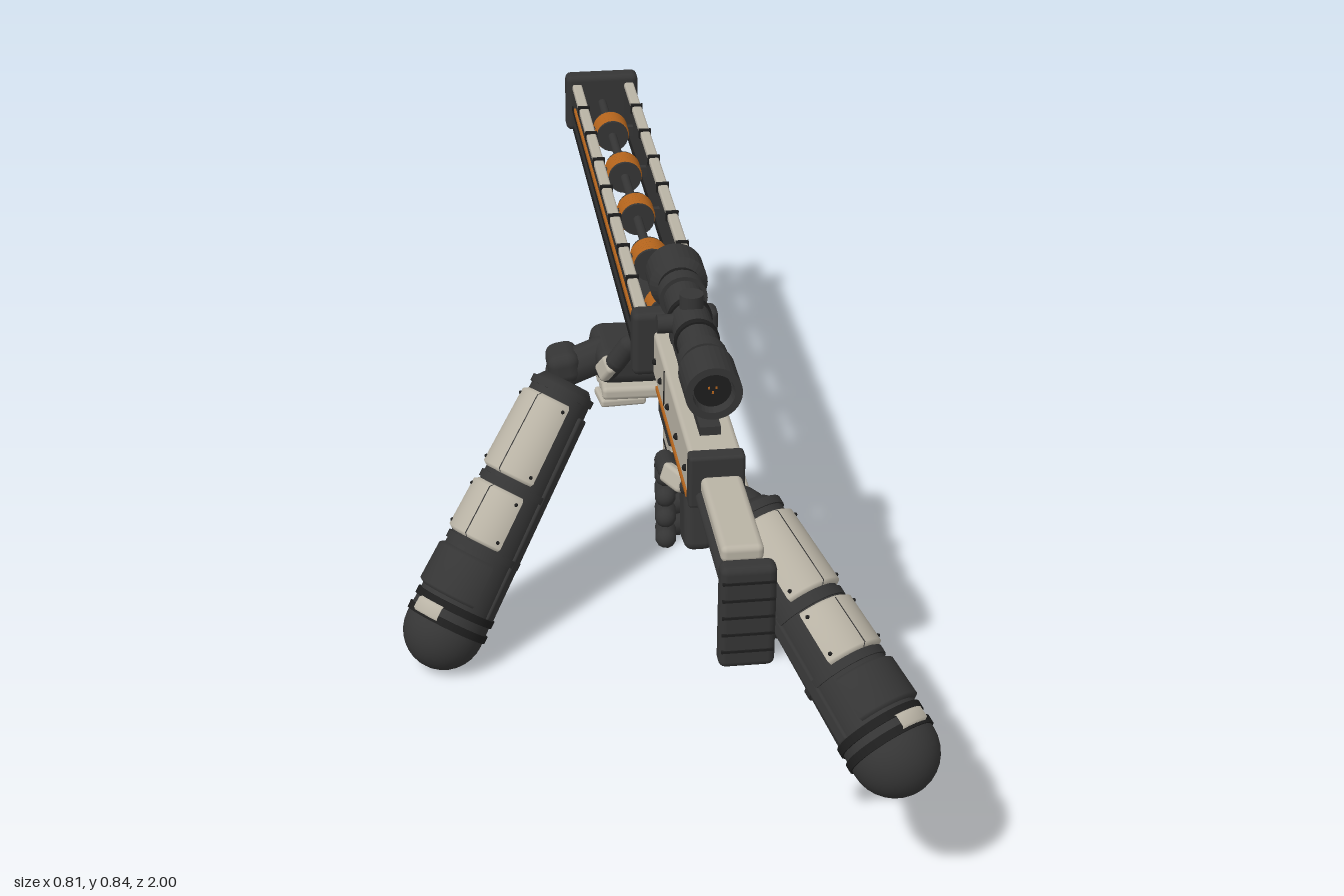
import * as THREE from 'three';
import { RoundedBoxGeometry } from 'three/addons/geometries/RoundedBoxGeometry.js';

const mat = (name, color) => {
  const m = new THREE.MeshStandardMaterial({ color, side: THREE.DoubleSide });
  m.name = name;
  return m;
};
const V = (x, y, z) => new THREE.Vector3(x, y, z);

export function createModel() {
  const dark = mat('charcoal', 0x353535), black = mat('black', 0x1e1e1e);
  const pale = mat('bone white', 0xb9b3a5), orange = mat('copper orange', 0xb4641c);
  const CX = 0.085; // gun centre line
  const model = new THREE.Group();
  model.name = 'heldRifle';

  const group = (name, parent = model) => {
    const g = new THREE.Group();
    g.name = name;
    parent.add(g);
    return g;
  };
  const add = (parent, name, geo, m, x = 0, y = 0, z = 0) => {
    const mesh = new THREE.Mesh(geo, m);
    mesh.name = name;
    mesh.position.set(x, y, z);
    parent.add(mesh);
    return mesh;
  };
  // box given by its extents
  const box = (p, name, m, x0, x1, y0, y1, z0, z1, r = 0) => {
    const s = [x1 - x0, y1 - y0, z1 - z0];
    const geo = r ? new RoundedBoxGeometry(...s, 2, r) : new THREE.BoxGeometry(...s);
    return add(p, name, geo, m, (x0 + x1) / 2, (y0 + y1) / 2, (z0 + z1) / 2);
  };
  // cylinder along z
  const tubeZ = (p, name, m, r, x, y, z0, z1, r2 = r, n = 24) => {
    const c = add(p, name, new THREE.CylinderGeometry(r2, r, z1 - z0, n), m, x, y, (z0 + z1) / 2);
    c.rotation.x = Math.PI / 2;
    return c;
  };
  // turn an object so its y runs along dir and its z leans toward face
  const orient = (o, dir, face) => {
    const y = dir.clone().normalize();
    const x = y.clone().cross(face).normalize();
    o.quaternion.setFromRotationMatrix(new THREE.Matrix4().makeBasis(x, y, x.clone().cross(y)));
    return o;
  };
  // capsule or rounded plate between two points
  const link = (p, name, m, a, b, r) => {
    const d = b.clone().sub(a), c = a.clone().add(b).multiplyScalar(0.5);
    return orient(add(p, name, new THREE.CapsuleGeometry(r, d.length(), 4, 12), m, c.x, c.y, c.z), d, V(0.13, 0.31, 0.94));
  };
  const slab = (p, name, m, a, b, w, t, face) => {
    const d = b.clone().sub(a), c = a.clone().add(b).multiplyScalar(0.5);
    const geo = new RoundedBoxGeometry(w, d.length(), t, 2, Math.min(w, t) * 0.35);
    return orient(add(p, name, geo, m, c.x, c.y, c.z), d, face);
  };

  // ---- stock ----
  const stock = group('stock');
  box(stock, 'buttPlate', dark, 0.042, 0.128, 0.515, 0.692, 0.95, 0.985, 0.012);
  for (let i = 0; i < 5; i++) box(stock, 'buttRib', black, 0.045, 0.125, 0.545 + i * 0.03, 0.549 + i * 0.03, 0.983, 0.987);
  box(stock, 'cheekRest', pale, 0.052, 0.118, 0.663, 0.692, 0.71, 0.925, 0.01);
  for (const s of [-1, 1]) tubeZ(stock, 'stockRod', dark, 0.01, CX + s * 0.025, 0.632, 0.66, 0.955, 0.01, 12);
  box(stock, 'stockBar', black, 0.07, 0.1, 0.62, 0.643, 0.66, 0.955);

  // ---- receiver ----
  const receiver = group('receiver');
  box(receiver, 'body', pale, 0.043, 0.127, 0.615, 0.7, 0.23, 0.65, 0.008);
  box(receiver, 'rearCap', dark, 0.04, 0.13, 0.612, 0.704, 0.648, 0.678, 0.006);
  box(receiver, 'lowerFrame', dark, 0.05, 0.12, 0.585, 0.618, 0.24, 0.6, 0.006);
  box(receiver, 'topRail', dark, 0.068, 0.102, 0.698, 0.715, 0.25, 0.6);
  for (const s of [-1, 1]) {
    const x = CX + s * 0.0425;
    box(receiver, 'orangeStripe', orange, x - 0.002, x + 0.002, 0.612, 0.619, 0.28, 0.64);
    box(receiver, 'panelSeam', black, x - 0.001, x + 0.001, 0.63, 0.695, 0.368, 0.371);
    for (const z of [0.26, 0.33, 0.42, 0.52, 0.62])
      add(receiver, 'bolt', new THREE.SphereGeometry(0.006, 10, 8), black, x, 0.655, z);
  }
  const magazine = group('magazine', receiver);
  box(magazine, 'magazineWell', dark, 0.05, 0.12, 0.55, 0.6, 0.245, 0.375, 0.006);
  box(magazine, 'magazineBody', pale, 0.056, 0.114, 0.39, 0.57, 0.262, 0.36, 0.006);
  box(magazine, 'magazineFoot', dark, 0.05, 0.12, 0.368, 0.392, 0.255, 0.368, 0.006);
  for (const y of [0.43, 0.47, 0.51]) box(magazine, 'magazineGroove', black, 0.0545, 0.1155, y, y + 0.004, 0.28, 0.345);
  // pistol grip and trigger guard
  const grip = box(receiver, 'pistolGrip', dark, 0.06, 0.11, 0.42, 0.6, 0.43, 0.5, 0.015);
  grip.rotation.x = -0.2;
  box(receiver, 'triggerGuard', dark, 0.077, 0.093, 0.545, 0.552, 0.37, 0.45);

  // ---- scope: one turned profile along z ----
  const scope = group('scope');
  const profile = [[0, 0.2], [0.036, 0.2], [0.036, 0.182], [0.05, 0.182], [0.05, 0.235], [0.034, 0.25], [0.034, 0.53],
    [0.046, 0.55], [0.046, 0.628], [0.034, 0.628], [0.032, 0.61], [0, 0.61]];
  const pts = profile.map(([r, z]) => new THREE.Vector2(r, z));
  add(scope, 'scopeTube', new THREE.LatheGeometry(pts, 32).toNonIndexed(), dark, CX, 0.79, 0).rotation.x = Math.PI / 2;
  scope.children[0].geometry.computeVertexNormals();
  for (const z of [0.25, 0.36, 0.44, 0.535]) tubeZ(scope, 'scopeBand', black, 0.0375, CX, 0.79, z, z + 0.012);
  tubeZ(scope, 'lens', black, 0.03, CX, 0.79, 0.611, 0.614);
  for (const [x, y] of [[-0.006, 0.004], [0.006, 0.004], [0, -0.004]])
    box(scope, 'reticleMark', orange, CX + x - 0.0015, CX + x + 0.0015, 0.788 + y, 0.792 + y, 0.614, 0.616);
  add(scope, 'topKnob', new THREE.CylinderGeometry(0.02, 0.02, 0.03, 20), dark, CX, 0.828, 0.38);
  const side = add(scope, 'sideKnob', new THREE.CylinderGeometry(0.016, 0.016, 0.03, 20), dark, CX - 0.042, 0.79, 0.38);
  side.rotation.z = Math.PI / 2;
  for (const z of [0.28, 0.52]) {
    box(scope, 'mountPost', dark, 0.065, 0.105, 0.705, 0.77, z - 0.013, z + 0.013);
    tubeZ(scope, 'mountRing', dark, 0.041, CX, 0.79, z - 0.014, z + 0.014);
  }

  // ---- open rail barrel ----
  const barrel = group('barrel');
  box(barrel, 'rearBlock', dark, 0.01, 0.16, 0.6, 0.72, 0.168, 0.21, 0.012);
  box(barrel, 'neck', dark, 0.05, 0.12, 0.62, 0.69, 0.2, 0.24);
  box(barrel, 'frontBlock', dark, 0.01, 0.16, 0.6, 0.72, -0.92, -0.88, 0.012);
  for (const s of [-1, 1]) {
    const x = CX + s * 0.054;
    box(barrel, 'sideRail', dark, x - 0.009, x + 0.009, 0.622, 0.697, -0.89, 0.175);
    box(barrel, 'orangeStrip', orange, x + s * 0.01 - 0.003, x + s * 0.01 + 0.003, 0.671, 0.68, -0.81, 0.13);
    box(barrel, 'shadowGroove', black, x + s * 0.01 - 0.002, x + s * 0.01 + 0.002, 0.655, 0.665, -0.86, 0.15);
    box(barrel, 'lowerRail', black, x - 0.007, x + 0.007, 0.597, 0.606, -0.89, 0.175);
    for (let i = 0; i < 8; i++) { // pale top segments with clamps between
      const z = 0.165 - i * 0.13;
      box(barrel, 'topStrip', pale, x - 0.01, x + 0.01, 0.695, 0.709, z - 0.124, z, 0.004);
      if (i) box(barrel, 'stripClamp', black, x - 0.012, x + 0.012, 0.692, 0.712, z, z + 0.006);
    }
    for (let i = 0; i < 5; i++) box(barrel, 'railHanger', black, x - 0.006, x + 0.006, 0.6, 0.625, -0.735 + i * 0.2, -0.7 + i * 0.2);
  }
  tubeZ(barrel, 'coreRod', dark, 0.009, CX, 0.66, -0.9, 0.18, 0.009, 12);
  for (const z of [0.07, -0.13, -0.33, -0.525, -0.73]) {
    const coil = group('coil', barrel);
    for (let i = -2; i <= 2; i++) add(coil, 'winding', new THREE.TorusGeometry(0.029, 0.006, 8, 24), orange, CX, 0.66, z + i * 0.009);
    tubeZ(coil, 'coilCore', orange, 0.029, CX, 0.66, z - 0.02, z + 0.02);
    for (const s of [-1, 1]) tubeZ(coil, 'coilCollar', dark, 0.032, CX, 0.66, z + s * 0.025 - 0.004, z + s * 0.025 + 0.004);
    box(coil, 'crossBar', dark, 0.04, 0.13, 0.65, 0.67, z - 0.006, z + 0.006);
  }
  for (const s of [-1, 1]) { // muzzle prongs
    const x = CX + s * 0.034;
    box(barrel, 'muzzlePost', pale, x - 0.009, x + 0.009, 0.64, 0.672, -0.96, -0.91);
    box(barrel, 'muzzleProng', dark, x - 0.016, x + 0.016, 0.63, 0.685, -1, -0.955, 0.006);
  }
  box(barrel, 'muzzleBridge', dark, 0.06, 0.11, 0.647, 0.665, -0.995, -0.98);
  box(barrel, 'foreGrip', dark, 0.045, 0.125, 0.545, 0.615, -0.17, 0.06, 0.012);

  // ---- forearm: turned sleeve with curved armour plates on its face side ----
  const forearm = (name, elbow, wrist, face, R) => {
    const g = group(name), d = wrist.clone().sub(elbow), L = d.length();
    g.position.copy(elbow);
    orient(g, d, face);
    const radius = (y) => R * (1 - 0.24 * Math.max(0, y / L));
    const p = [];
    for (let i = 0; i <= 8; i++) p.push(new THREE.Vector2(R * Math.sin(i * Math.PI / 16), -R * Math.cos(i * Math.PI / 16)));
    p.push(new THREE.Vector2(radius(L * 0.97), L * 0.97), new THREE.Vector2(R * 0.6, L), new THREE.Vector2(0, L));
    add(g, 'sleeve', new THREE.LatheGeometry(p, 32), dark);
    for (const t of [0.03, 0.09, 0.32, 0.57, 0.96])
      add(g, 'sleeveBand', new THREE.CylinderGeometry(radius(t * L) + 0.004, radius(t * L) + 0.004, 0.014, 32), t > 0.1 ? dark : black, 0, t * L);
    // plates: start, end, centre angle, angular width, colour
    const plates = [[0.02, 0.085, 0, 0.7, pale], [0.12, 0.29, 0, 2, dark], [0.34, 0.55, 0.48, 0.93, pale], [0.34, 0.55, -0.48, 0.93, pale],
      [0.6, 0.92, 0.5, 0.97, pale], [0.6, 0.92, -0.5, 0.97, pale]];
    for (const [a, b, c, w, m] of plates) {
      const q = [[0, a], [0.009, a + 0.012], [0.009, b - 0.012], [0, b]].map(([o, t]) => new THREE.Vector2(radius(t * L) + o, t * L));
      add(g, 'armourPlate', new THREE.LatheGeometry(q, 12, c - w / 2, w), m);
      for (const t of [a + 0.03, b - 0.03]) {
        if (m === dark || b - a < 0.1) continue;
        const r = radius(t * L) + 0.009, th = c + Math.sign(c) * w * 0.36;
        add(g, 'rivet', new THREE.SphereGeometry(0.0035, 8, 6), black, r * Math.sin(th), t * L, r * Math.cos(th));
      }
    }
    for (const s of [-1, 1]) // raised strips beside the plates
      slab(g, 'sideStrip', dark, V(s * R * 0.93, L * 0.1, -0.01), V(s * R * 0.77, L * 0.9, -0.01), 0.024, 0.014, V(s, 0, 0));
  };
  forearm('rightForearm', V(-0.332, 0.075, 0.17), V(-0.08, 0.465, -0.035), V(-0.6, 0.5, 0.6), 0.075);
  forearm('leftForearm', V(0.335, 0.294, 0.925), V(0.145, 0.55, 0.59), V(0.4, 0.8, 0.4), 0.073);

  // finger: dark joints with a pale plate on every bone but the tip
  const finger = (p, path, out, r) => {
    for (let i = 0; i + 1 < path.length; i++) {
      const a = path[i], b = path[i + 1];
      link(p, 'fingerBone', dark, a, b, r);
      const mid = a.clone().add(b).multiplyScalar(0.5);
      const o = mid.sub(out).normalize().multiplyScalar(r * 0.55);
      if (i < path.length - 2) slab(p, 'fingerPlate', pale, a.clone().add(o), b.clone().add(o), r * 1.9, r * 1.2, o);
    }
  };

  // ---- right hand, palm up under the barrel ----
  const rightHand = group('rightHand');
  link(rightHand, 'wrist', dark, V(-0.085, 0.485, -0.045), V(-0.01, 0.51, -0.055), 0.034);
  slab(rightHand, 'wristCuff', dark, V(-0.115, 0.492, -0.05), V(-0.055, 0.502, -0.05), 0.08, 0.062, V(0, 1, 0));
  slab(rightHand, 'palm', dark, V(-0.03, 0.51, -0.055), V(0.12, 0.505, -0.06), 0.14, 0.07, V(0, 1, 0));
  for (let i = 0; i < 4; i++) {
    const z = 0.005 - i * 0.043;
    slab(rightHand, 'handPlate', pale, V(-0.02, 0.462, -0.03 + (z + 0.06) * 0.5), V(0.1, 0.462, z), 0.036, 0.026, V(0, 1, 0));
    finger(rightHand, [V(0.105, 0.472, z), V(0.15, 0.495, z), V(0.16, 0.545, z), V(0.145, 0.583, z)], V(0.08, 0.54, z), 0.019);
  }
  finger(rightHand, [V(-0.01, 0.5, 0), V(0.005, 0.535, 0.025), V(0.025, 0.57, 0.035)], V(0.08, 0.54, 0), 0.019);
  slab(rightHand, 'heelPlate', pale, V(-0.025, 0.437, -0.02), V(0.06, 0.434, -0.03), 0.06, 0.016, V(0, 1, 0));

  // ---- left hand around the pistol grip ----
  const leftHand = group('leftHand');
  link(leftHand, 'wrist', dark, V(0.145, 0.55, 0.59), V(0.125, 0.525, 0.52), 0.038);
  slab(leftHand, 'palm', dark, V(0.128, 0.53, 0.55), V(0.125, 0.5, 0.43), 0.13, 0.045, V(1, 0, 0));
  for (let i = 0; i < 4; i++) {
    const y = 0.55 - i * 0.037, z = i * 0.006;
    slab(leftHand, 'handPlate', pale, V(0.152, 0.545 - i * 0.018, 0.57), V(0.152, y - 0.005, 0.44 + z), 0.034, 0.022, V(1, 0, 0));
    finger(leftHand, [V(0.146, y - 0.005, 0.435 + z), V(0.132, y - 0.01, 0.4 + z), V(0.085, y - 0.015, 0.39 + z),
      V(0.04, y - 0.015, 0.405 + z), V(0.035, y - 0.012, 0.445 + z)], V(0.085, y, 0.46), 0.018);
  }
  finger(leftHand, [V(0.11, 0.56, 0.53), V(0.06, 0.57, 0.53), V(0.035, 0.57, 0.48), V(0.035, 0.565, 0.44)], V(0.085, 0.55, 0.46), 0.018);
  slab(leftHand, 'heelPlate', pale, V(0.14, 0.455, 0.56), V(0.125, 0.425, 0.46), 0.03, 0.04, V(1, 0, 0));

  return model;
}
